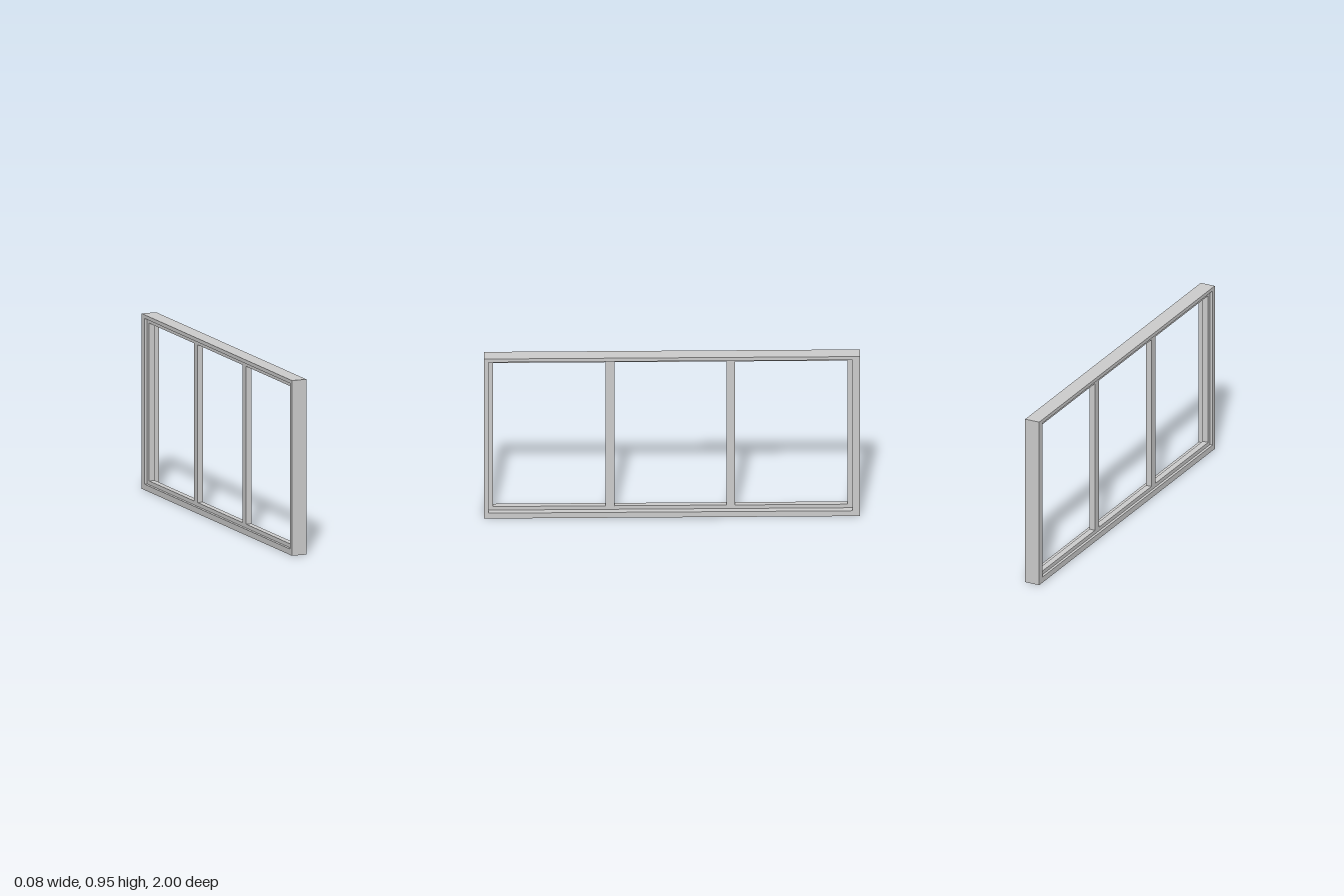
import * as THREE from 'three';

const material = new THREE.MeshStandardMaterial({ color: 0xcccccc, flatShading: true });

function rect(path, z0, z1, y0, y1) {
  path.moveTo(z0, y0);
  path.lineTo(z1, y0);
  path.lineTo(z1, y1);
  path.lineTo(z0, y1);
  path.closePath();
  return path;
}

// Flat panel drawn in the z-y plane with rectangular openings, spanning xBack..xFront
function panel(name, outer, openings, xBack, xFront) {
  const shape = rect(new THREE.Shape(), ...outer);
  for (const o of openings) shape.holes.push(rect(new THREE.Path(), ...o));
  const geometry = new THREE.ExtrudeGeometry(shape, { depth: xFront - xBack, bevelEnabled: false });
  geometry.rotateY(-Math.PI / 2); // drawing x -> +z, depth -> -x
  geometry.translate(xFront, 0, 0);
  const mesh = new THREE.Mesh(geometry, material);
  mesh.name = name;
  return mesh;
}

export function createModel() {
  const group = new THREE.Group();
  group.name = 'windowFrame';

  // Deep outer frame
  const rebate = [-0.96, 0.976, 0.032, 0.93];
  group.add(panel('outerFrame', [-1, 1, 0, 0.95], [rebate], -0.042, 0.042));

  // Thinner inner sash set back in the frame, split by two mullions into three lights
  const lights = [[-0.933, -0.336], [-0.29, 0.307], [0.353, 0.953]]
    .map(([z0, z1]) => [z0, z1, 0.053, 0.908]);
  group.add(panel('innerSash', rebate, lights, -0.027, 0.006));

  return group;
}
